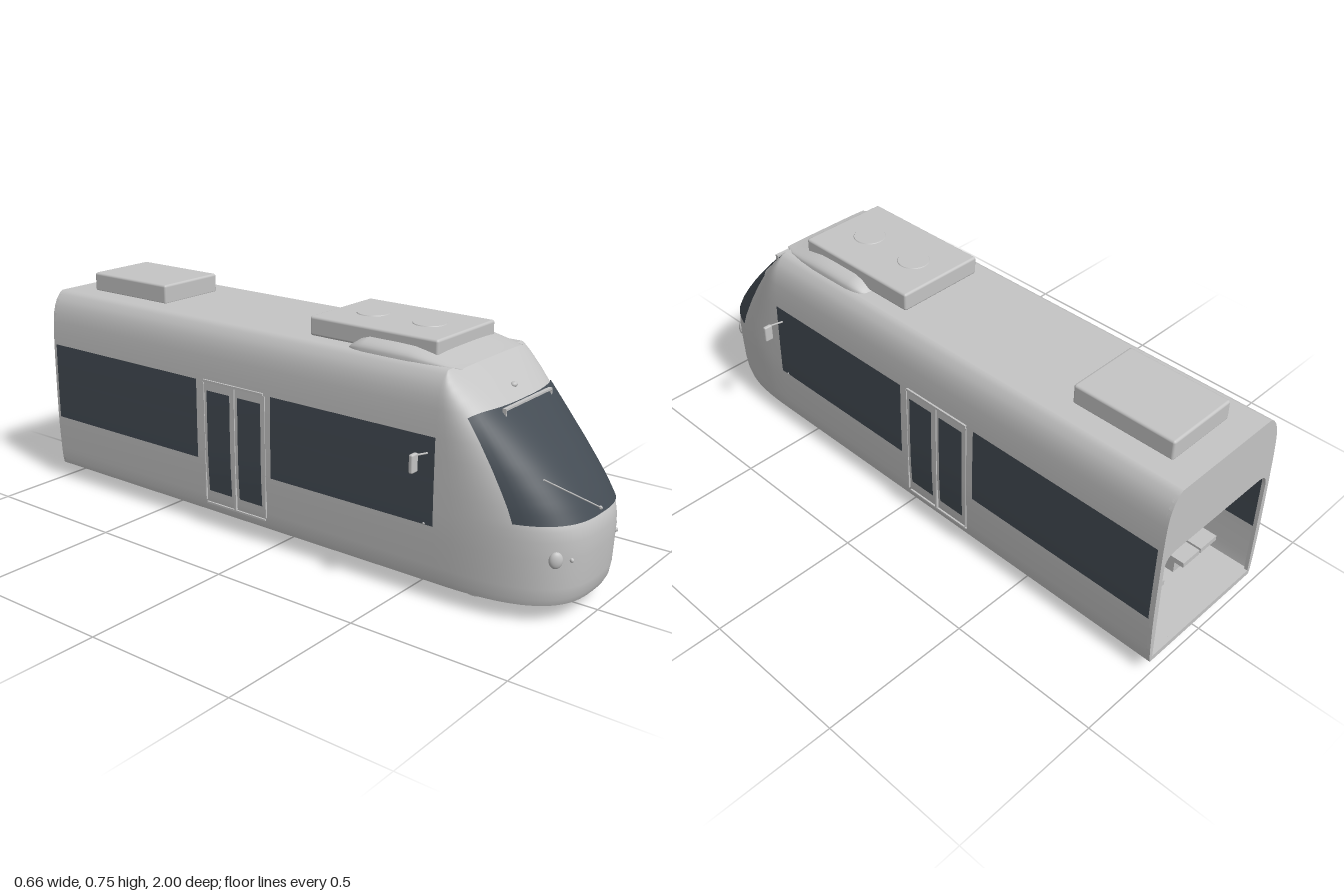
import * as THREE from 'three';
import { RoundedBoxGeometry } from 'three/addons/geometries/RoundedBoxGeometry.js';

const REAR = -1, NOSE = 0.6, P = 2.8;
// height, half width, foremost z of the body
const LEVELS = [
  [0.055, 0.240, 0.980], [0.075, 0.244, 0.990], [0.11, 0.247, 0.996], [0.2, 0.251, 1.0], [0.25, 0.252, 1.0],
  [0.28, 0.252, 0.994], [0.3, 0.252, 0.985], [0.34, 0.252, 0.958], [0.38, 0.2515, 0.926], [0.44, 0.251, 0.873],
  [0.5, 0.25, 0.814], [0.54, 0.2485, 0.773], [0.58, 0.246, 0.729], [0.61, 0.242, 0.697], [0.635, 0.235, 0.667],
  [0.655, 0.226, 0.642], [0.672, 0.213, 0.620], [0.68, 0.204, 0.609], [0.683, 0.196, 0.604],
];
const TOP = 0.683, BOTTOM = 0.055;

function level(y) {
  let i = 0;
  while (i < LEVELS.length - 2 && y > LEVELS[i + 1][0]) i++;
  const a = LEVELS[i], b = LEVELS[i + 1], t = (y - a[0]) / (b[0] - a[0]);
  return { w: a[1] + (b[1] - a[1]) * t, f: a[2] + (b[2] - a[2]) * t };
}

// z of the nose surface at a given x and y
function noseZ(x, y) {
  const { w, f } = level(y);
  return NOSE + (f - NOSE) * Math.pow(Math.max(0, 1 - Math.pow(Math.abs(x) / w, P)), 1 / P);
}

// plan outline from the left rear corner, round the nose, to the right rear corner
function outline(y, n = 48) {
  const { w, f } = level(y), pts = [[w, REAR], [w, -0.2], [w, 0.4]];
  for (let i = 0; i <= n; i++) {
    const t = Math.PI * (0.5 - i / n), s = Math.sin(t), c = Math.max(0, Math.cos(t));
    pts.push([w * Math.sign(s) * Math.pow(Math.abs(s), 2 / P), NOSE + (f - NOSE) * Math.pow(c, 2 / P)]);
  }
  return pts.concat([[-w, 0.4], [-w, -0.2], [-w, REAR]]);
}

// surface through a grid of points, f(i, j) -> [x, y, z]; j runs upward
function grid(nu, nv, f) {
  const pos = [], idx = [];
  for (let j = 0; j <= nv; j++) for (let i = 0; i <= nu; i++) pos.push(...f(i, j));
  for (let j = 0; j < nv; j++) for (let i = 0; i < nu; i++) {
    const a = j * (nu + 1) + i, b = a + nu + 1;
    idx.push(a, b, a + 1, a + 1, b, b + 1);
  }
  const g = new THREE.BufferGeometry();
  g.setAttribute('position', new THREE.Float32BufferAttribute(pos, 3));
  g.setIndex(idx);
  g.computeVertexNormals();
  return g;
}

export function createModel() {
  const paint = new THREE.MeshStandardMaterial({ color: 0xc4c4c4, side: THREE.DoubleSide });
  paint.name = 'light grey';
  const glass = new THREE.MeshStandardMaterial({ color: 0x434b53, side: THREE.DoubleSide });
  glass.name = 'dark glass';
  const model = new THREE.Group();
  model.name = 'tram';

  const add = (name, geo, mat = paint, x = 0, y = 0, z = 0) => {
    const m = new THREE.Mesh(geo, mat);
    m.name = name;
    m.position.set(x, y, z);
    model.add(m);
    return m;
  };
  const box = (name, w, h, d, x, y, z, mat = paint) => add(name, new THREE.BoxGeometry(w, h, d), mat, x, y, z);
  const rod = (name, a, b, r) => add(name,
    new THREE.TubeGeometry(new THREE.LineCurve3(new THREE.Vector3(...a), new THREE.Vector3(...b)), 1, r, 8), paint);

  // Body shell, roof and floor
  const rings = LEVELS.map(l => outline(l[0]).map(p => [p[0], l[0], p[1]]));
  add('bodyShell', grid(rings[0].length - 1, rings.length - 1, (i, j) => rings[j][i]));
  const plan = y => new THREE.Shape(outline(y).map(p => new THREE.Vector2(p[0], -p[1])));
  add('roof', new THREE.ShapeGeometry(plan(TOP)).rotateX(-Math.PI / 2), paint, 0, TOP, 0);
  add('floor', new THREE.ExtrudeGeometry(plan(BOTTOM), { depth: 0.018, bevelEnabled: false })
    .rotateX(-Math.PI / 2), paint, 0, BOTTOM, 0);

  // Open rear end with a rounded gangway opening
  const end = new THREE.Shape([
    ...LEVELS.map(l => new THREE.Vector2(l[1], l[0])),
    ...LEVELS.map(l => new THREE.Vector2(-l[1], l[0])).reverse(),
  ]);
  const hole = new THREE.Path();
  hole.moveTo(-0.232, 0.073).lineTo(-0.235, 0.42);
  hole.quadraticCurveTo(-0.235, 0.465, -0.19, 0.465).lineTo(0.19, 0.465);
  hole.quadraticCurveTo(0.235, 0.465, 0.235, 0.42).lineTo(0.232, 0.073);
  end.holes.push(hole);
  add('rearFrame', new THREE.ExtrudeGeometry(end, { depth: 0.012, bevelEnabled: false }), paint, 0, 0, REAR);

  // Windscreen wrapped over the nose, with softened top corners
  add('windscreen', grid(40, 20, (i, j) => {
    const u = 1 - i / 20;
    const yTop = 0.582 - 0.014 * Math.pow(Math.abs(u), 10);
    const x = 0.228 * u, y = 0.298 + (yTop - 0.298) * j / 20;
    return [x * 1.004, y, noseZ(x, y) + 0.006];
  }), glass);

  // Sign frame above the windscreen
  box('signBar', 0.26, 0.006, 0.012, 0, 0.578, 0.742);
  for (const s of [-1, 1]) box('signEnd', 0.004, 0.018, 0.012, s * 0.128, 0.569, 0.742);
  add('signHousing', grid(20, 2, (i, j) => {
    const x = 0.125 * (1 - i / 10), y = 0.564 + 0.004 * j - 0.004 * Math.abs(x) * (2 - j);
    return [x, y, noseZ(x, y) + 0.008];
  }), glass);

  // Wiper
  rod('wiperArm', [0, 0.31, 0.99], [-0.21, 0.44, 0.915], 0.0022);
  add('wiperPivot', new THREE.SphereGeometry(0.006, 12, 8), paint, 0, 0.31, 0.985);

  // Lamps
  const lamp = (name, x, y, rx, ry, rz) => {
    const m = add(name, new THREE.SphereGeometry(1, 24, 16), paint, x, y, noseZ(x, y));
    m.scale.set(rx, ry, rz);
    m.rotation.y = Math.atan2(noseZ(x - 0.01, y) - noseZ(x + 0.01, y), 0.02);
  };
  lamp('topLamp', 0, 0.612, 0.012, 0.008, 0.01);

  // Side windows and doors follow the curve of the wall, seen inside and out
  const wallPlate = (name, s, zA, zB, yA, yB, off, mat) => add(name, grid(1, 10, (i, j) => {
    const y = yA + (yB - yA) * j / 10;
    return [s * (level(y).w + off), y, (s > 0) === (i === 0) ? zA : zB];
  }), mat);

  for (const s of [-1, 1]) {
    for (const off of [0.003, -0.003]) {
      wallPlate('frontSideWindow', s, 0, 0.6, 0.235, 0.5, off, glass);
      wallPlate('rearSideWindow', s, -0.985, -0.31, 0.235, 0.5, off, glass);
      wallPlate('doorWindow', s, -0.135, -0.04, 0.13, 0.47, off, glass);
      wallPlate('doorWindow', s, -0.265, -0.168, 0.13, 0.47, off, glass);
    }
    box('doorRail', 0.008, 0.008, 0.25, s * 0.252, 0.501, -0.155);
    box('doorSeal', 0.008, 0.41, 0.007, s * 0.251, 0.295, -0.152);
    box('doorStep', 0.008, 0.006, 0.25, s * 0.247, 0.085, -0.155);
    for (const z of [-0.025, -0.28]) box('doorPost', 0.006, 0.4, 0.004, s * 0.251, 0.295, z);

    lamp('headlight', s * 0.17, 0.2, 0.02, 0.025, 0.012);
    lamp('indicator', s * 0.133, 0.196, 0.006, 0.007, 0.008);
    add('sideMarker', new THREE.SphereGeometry(0.006, 12, 8), paint, s * 0.251, 0.237, 0.57);

    // Wing mirrors
    rod('mirrorArm', [s * 0.248, 0.449, 0.575], [s * 0.305, 0.459, 0.575], 0.003);
    add('mirror', new RoundedBoxGeometry(0.03, 0.056, 0.014, 3, 0.005), paint, s * 0.317, 0.438, 0.572);
  }

  // Roof fairing: z, crown height, half width
  const stations = [[0.625, 0.684, 0.165], [0.58, 0.694, 0.184], [0.52, 0.711, 0.194], [0.46, 0.724, 0.198],
    [0.4, 0.726, 0.198], [0.3, 0.726, 0.197], [0.27, 0.716, 0.192], [0.245, 0.697, 0.182], [0.235, 0.682, 0.165]];
  add('roofFairing', grid(24, stations.length - 1, (i, j) => {
    const [z, h, w] = stations[j], t = Math.PI * i / 24, c = Math.cos(t);
    return [w * Math.sign(c) * Math.pow(Math.abs(c), 0.6), 0.68 + (h - 0.68) * Math.pow(Math.max(0, Math.sin(t)), 0.7), z];
  }));

  // Roof equipment
  add('frontRoofUnit', new RoundedBoxGeometry(0.306, 0.06, 0.46, 3, 0.008), paint, 0, 0.715, 0.305);
  add('rearRoofUnit', new RoundedBoxGeometry(0.248, 0.066, 0.345, 3, 0.008), paint, 0, 0.711, -0.738);
  for (const z of [0.2, 0.405])
    add('roofFan', new THREE.CylinderGeometry(0.05, 0.052, 0.003, 32), paint, 0, 0.746, z);

  // Bogie
  const across = (r, len) => new THREE.CylinderGeometry(r, r, len, 32).rotateZ(Math.PI / 2);
  for (const z of [0.33, 0.68]) {
    for (const s of [-1, 1]) {
      add('wheel', across(0.051, 0.02), paint, s * 0.148, 0.058, z);
      add('wheelFlange', across(0.057, 0.005), paint, s * 0.139, 0.058, z);
      add('axleBox', across(0.022, 0.016), paint, s * 0.165, 0.056, z);
    }
    add('axle', across(0.01, 0.28), paint, 0, 0.056, z);
  }
  for (const z of [0.42, 0.59]) add('motor', across(0.021, 0.138), paint, -0.012, 0.057, z);
  for (const s of [-1, 1]) box('trackBrake', 0.008, 0.032, 0.24, s * 0.091, 0.04, 0.505);

  // Passenger seats in pairs and overhead rails
  for (const s of [-1, 1]) {
    for (const z of [-0.85, -0.62, -0.4, 0.12, 0.36]) {
      for (const x of [0.085, 0.17]) {
        box('seatCushion', 0.078, 0.018, 0.08, s * x, 0.15, z);
        box('seatBack', 0.078, 0.165, 0.016, s * x, 0.235, z + 0.045);
      }
      box('seatBase', 0.12, 0.075, 0.03, s * 0.128, 0.108, z + 0.02);
    }
    rod('grabRail', [s * 0.09, 0.48, -0.95], [s * 0.09, 0.48, 0.45], 0.005);
    for (const z of [-0.95, -0.25, 0.45]) rod('railHanger', [s * 0.09, 0.48, z], [s * 0.09, 0.68, z], 0.004);
  }
  return model;
}
